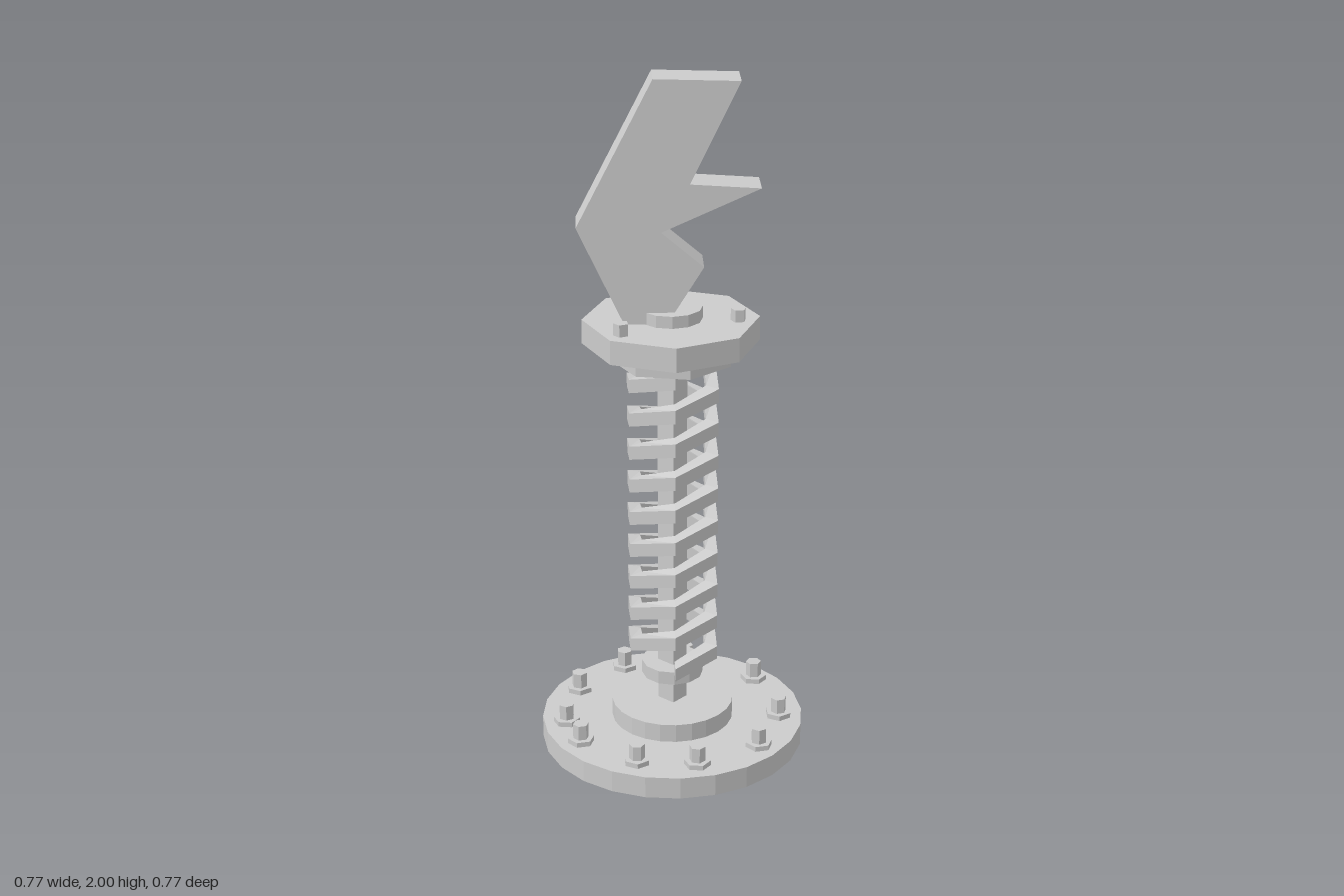
import * as THREE from 'three';

const steel = new THREE.MeshStandardMaterial({ color: 0xcccccc, flatShading: true, side: THREE.DoubleSide });
steel.name = 'grey steel';

// Upright prism between two heights
function prism(name, radius, y0, y1, sides, x = 0, z = 0, turn = 0) {
  const mesh = new THREE.Mesh(new THREE.CylinderGeometry(radius, radius, y1 - y0, sides, 1, false, turn), steel);
  mesh.position.set(x, (y0 + y1) / 2, z);
  mesh.name = name;
  return mesh;
}

// Rectangular strip swept along a six-sided helix
function coilGeometry(phase, y0, y1, pitch) {
  const steps = Math.round(((y1 - y0) / pitch) * 6);
  const section = [[0.145, -0.02], [0.145, 0.02], [0.105, 0.024], [0.105, -0.016]];
  const pos = [], index = [];
  for (let i = 0; i <= steps; i++) {
    const a = phase + (i * Math.PI) / 3;
    const y = y0 + ((y1 - y0) * i) / steps;
    for (const [r, h] of section) pos.push(r * Math.sin(a), y + h, r * Math.cos(a));
  }
  for (let i = 0; i < steps; i++) {
    for (let j = 0; j < 4; j++) {
      const a = i * 4 + j, b = i * 4 + ((j + 1) % 4);
      index.push(a, a + 4, b, b, a + 4, b + 4);
    }
  }
  const e = steps * 4;
  index.push(0, 1, 2, 0, 2, 3, e, e + 2, e + 1, e, e + 3, e + 2);
  const geo = new THREE.BufferGeometry();
  geo.setAttribute('position', new THREE.Float32BufferAttribute(pos, 3));
  geo.setIndex(index);
  geo.computeVertexNormals();
  return geo;
}

export function createModel() {
  const model = new THREE.Group();
  model.name = 'springMountedBlade';

  // Hollow base plate with raised hub, open underneath
  const profile = [[0.385, 0], [0.385, 0.065], [0.178, 0.065], [0.178, 0.12], [0, 0.12]];
  const base = new THREE.Mesh(
    new THREE.LatheGeometry(profile.map(([x, y]) => new THREE.Vector2(x, y)), 24), steel);
  base.name = 'basePlate';
  model.add(base);

  // Nuts and studs around the base
  const bolts = [
    [-0.13, -0.29], [0.06, -0.315], [0.26, -0.193], [0.313, 0.036], [0.238, 0.212],
    [0.053, 0.308], [-0.119, 0.286], [-0.276, 0.158], [-0.315, 0.038], [-0.272, -0.156],
  ];
  bolts.forEach(([x, z], i) => {
    const bolt = new THREE.Group();
    bolt.name = 'baseBolt';
    bolt.add(prism('nut', 0.039, 0.064, 0.08, 6, x, z, i * 0.7));
    bolt.add(prism('stud', 0.023, 0.08, 0.125, 6, x, z, i * 1.3));
    model.add(bolt);
  });

  // Central rod and lower spring seat
  model.add(prism('rod', 0.042, 0.12, 1.2, 4));
  model.add(prism('springSeat', 0.09, 0.205, 0.245, 12));

  // Two interleaved coils
  for (let k = 0; k < 2; k++) {
    const coil = new THREE.Mesh(coilGeometry(k * Math.PI, 0.265, 1.17, 0.2), steel);
    coil.name = 'springCoil';
    model.add(coil);
  }

  // Upper flange stack
  model.add(prism('flangeCollar', 0.175, 1.19, 1.24, 7, 0, 0, -Math.PI / 2));
  model.add(prism('flange', 0.249, 1.24, 1.31, 8, -0.004, -0.002));
  model.add(prism('bladeBoss', 0.09, 1.31, 1.345, 12, -0.005));
  [[-0.01, -0.195], [-0.148, 0.13], [0.182, 0.03]].forEach(([x, z], i) =>
    model.add(prism('flangeStud', 0.022, 1.31, 1.345, 5, x, z, i)));

  // Jagged blade
  const outline = [
    [-0.055, 2], [-0.265, 1.59], [-0.135, 1.312], [-0.016, 1.312], [0.085, 1.475],
    [-0.033, 1.575], [0.24, 1.697], [0.045, 1.71], [0.182, 1.993],
  ];
  const shape = new THREE.Shape(outline.map(([x, y]) => new THREE.Vector2(x, y)));
  const bladeGeo = new THREE.ExtrudeGeometry(shape, { depth: 0.11, bevelEnabled: false });
  bladeGeo.translate(0, 0, -0.055);
  const blade = new THREE.Mesh(bladeGeo, steel);
  blade.rotation.y = -0.022;
  blade.name = 'blade';
  model.add(blade);

  return model;
}
